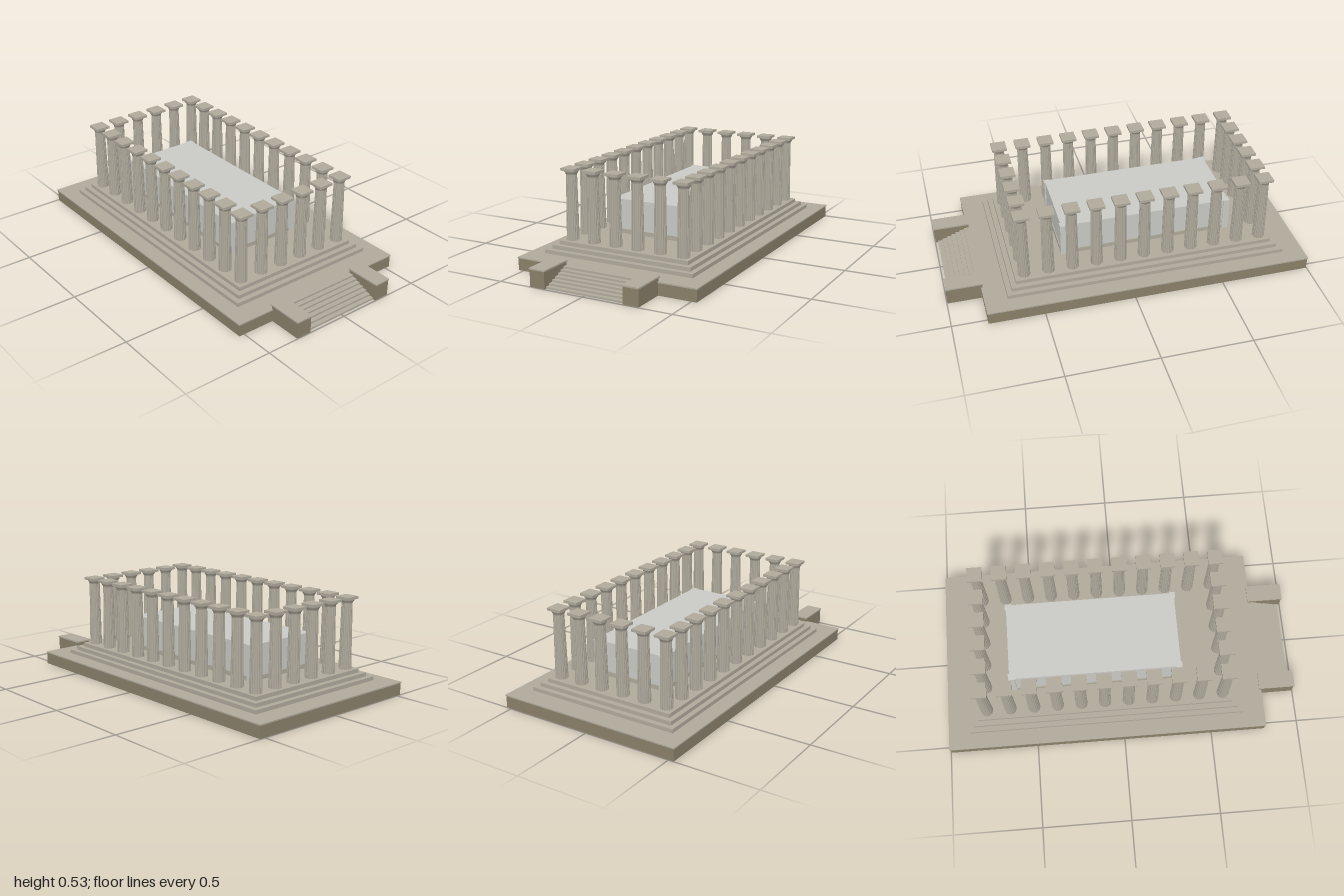
import * as THREE from 'three';

const mat = (name, color, flat = false) => {
  const m = new THREE.MeshStandardMaterial({ color, flatShading: flat });
  m.name = name;
  return m;
};

export function createModel() {
  const root = new THREE.Group();
  root.name = 'temple';
  const stone = mat('pale stone', 0xb0aa9c);
  const fluted = stone.clone();
  fluted.flatShading = true;
  const earth = mat('brown masonry', 0x8a806a);
  const wall = mat('light wall', 0xc9cac5);

  // Box given by its extents
  const block = (name, material, x0, x1, y0, y1, z0, z1, parent = root) => {
    const mesh = new THREE.Mesh(new THREE.BoxGeometry(x1 - x0, y1 - y0, z1 - z0), material);
    mesh.position.set((x0 + x1) / 2, (y0 + y1) / 2, (z0 + z1) / 2);
    mesh.name = name;
    parent.add(mesh);
    return mesh;
  };

  // Terrace with an overhanging slab
  block('terraceBase', earth, -0.53, 0.53, 0, 0.066, -0.997, 0.807);
  block('terraceSlab', stone, -0.534, 0.534, 0.066, 0.073, -1, 0.81);

  // Three steps under the colonnade
  const zc = -0.098;
  for (let i = 0; i < 3; i++) {
    const w = 0.445 - i * 0.0285, d = 0.783 - i * 0.0285;
    block('platformStep', stone, -w, w, 0.073 + i * 0.0213, 0.073 + (i + 1) * 0.0213, zc - d, zc + d);
  }

  // Front stair and its side blocks
  const steps = 7;
  for (let i = 0; i < steps; i++) {
    block('stairStep', stone, -0.228, 0.228, 0.073 * i / steps, 0.073 * (i + 1) / steps, 0.805, 0.983 - i * 0.0258);
  }
  for (const s of [-1, 1]) {
    const cheek = new THREE.Group();
    cheek.name = s > 0 ? 'leftStairBlock' : 'rightStairBlock';
    cheek.position.x = s * 0.2725;
    block('stairBlockBody', earth, -0.044, 0.044, 0, 0.092, 0.8, 0.997, cheek);
    block('stairBlockCap', stone, -0.048, 0.048, 0.092, 0.1, 0.795, 1, cheek);
    root.add(cheek);
  }

  // Inner chamber: walls, foot moulding, corner pilasters
  const floor = 0.137, roof = 0.328, zb = -0.625, zf = 0.343;
  block('chamberWalls', wall, -0.221, 0.221, floor, roof, zb + 0.004, zf - 0.004);
  block('chamberFoot', stone, -0.226, 0.226, floor, 0.161, zb - 0.002, zf + 0.002);
  for (const x of [-0.209, 0.209]) {
    for (const z of [zb + 0.015, zf - 0.015]) {
      block('cornerPilaster', wall, x - 0.018, x + 0.018, floor, roof, z - 0.018, z + 0.018);
    }
  }

  // Column parts: fluted tapering shaft, curved capital, square slab
  const shaftGeo = new THREE.CylinderGeometry(0.0295, 0.0345, 0.361, 40, 3, true);
  const p = shaftGeo.attributes.position;
  for (let i = 0; i < p.count; i++) {
    const flute = (i % 41) % 2 ? 0.93 : 1;
    p.setX(i, p.getX(i) * flute);
    p.setZ(i, p.getZ(i) * flute);
  }
  const capitalGeo = new THREE.LatheGeometry(
    [[0.0295, 0], [0.031, 0.003], [0.031, 0.006], [0.036, 0.012], [0.0395, 0.018], [0.0395, 0.022]]
      .map(([r, y]) => new THREE.Vector2(r, y)), 24);
  const slabGeo = new THREE.BoxGeometry(0.084, 0.014, 0.084);

  const addColumn = (x, z) => {
    const column = new THREE.Group();
    column.name = 'column';
    column.position.set(x, floor, z);
    const parts = [
      ['shaft', shaftGeo, fluted, 0.1805],
      ['capital', capitalGeo, stone, 0.36],
      ['topSlab', slabGeo, stone, 0.389],
    ];
    for (const [name, geo, material, y] of parts) {
      const mesh = new THREE.Mesh(geo, material);
      mesh.name = name;
      mesh.position.y = y;
      column.add(mesh);
    }
    root.add(column);
  };

  // Ring of columns, six across and eleven deep
  const pitch = 0.1345;
  for (let row = 0; row < 11; row++) {
    for (let col = 0; col < 6; col++) {
      if (row % 10 === 0 || col % 5 === 0) addColumn((col - 2.5) * pitch, zc + (row - 5) * pitch);
    }
  }
  return root;
}
